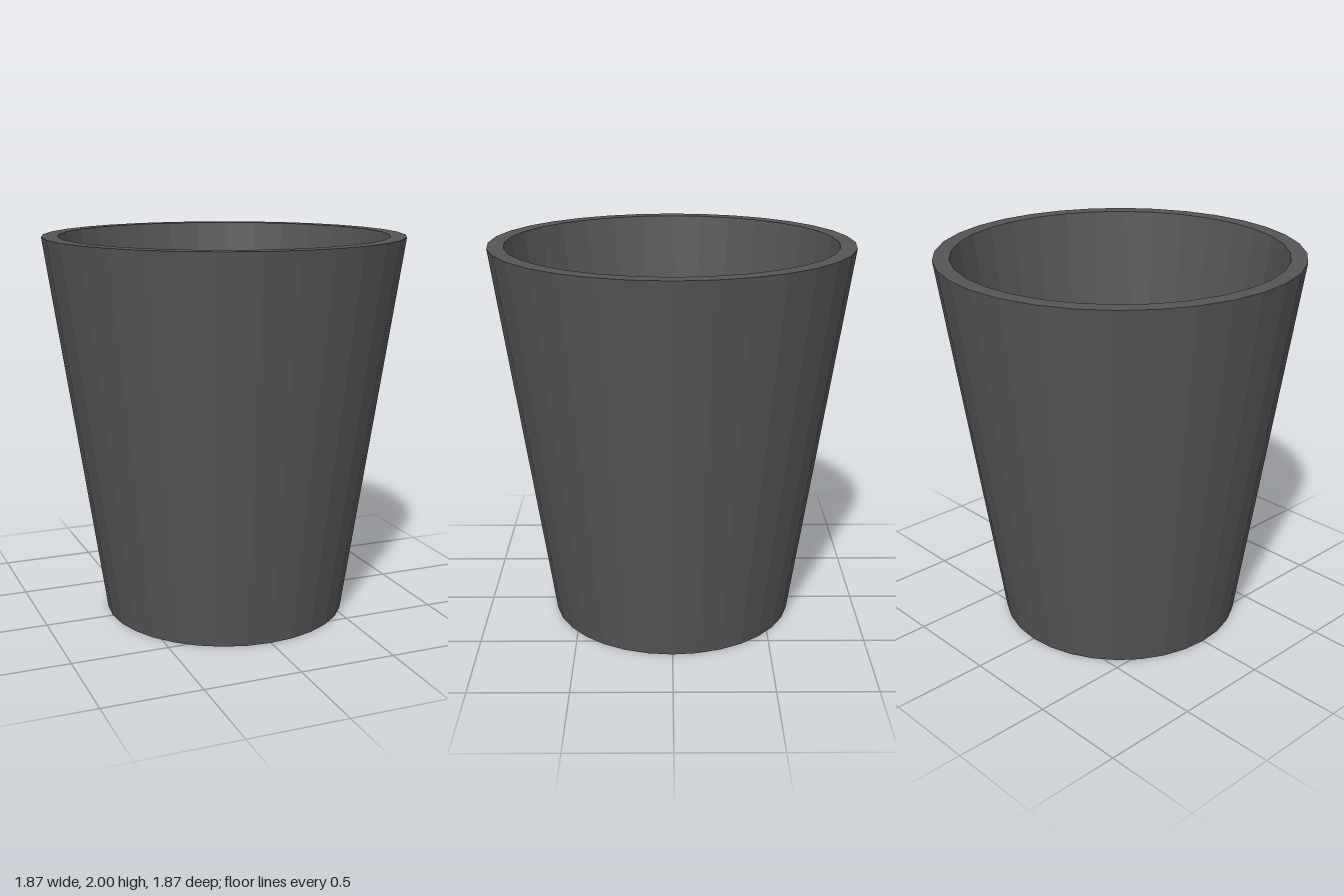
import * as THREE from 'three';

const SIDES = 32;
const BASE_RADIUS = 0.64, RIM_RADIUS = 0.933, HEIGHT = 2;
const INNER_RIM = 0.85, FLOOR_RADIUS = 0.66, FLOOR_Y = 0.7;

export function createModel() {
  const group = new THREE.Group();
  group.name = 'tumbler';
  const material = new THREE.MeshStandardMaterial({ color: 0x555555, flatShading: true });

  // Revolves a list of [radius, height] points into a faceted part
  const addPart = (name, points) => {
    const profile = points.map(([r, y]) => new THREE.Vector2(r, y));
    const mesh = new THREE.Mesh(new THREE.LatheGeometry(profile, SIDES), material);
    mesh.name = name;
    group.add(mesh);
  };

  // Closed underside and tapered outer wall
  addPart('outerWall', [[0, 0], [BASE_RADIUS, 0], [RIM_RADIUS, HEIGHT]]);
  // Flat ring around the mouth
  addPart('rim', [[RIM_RADIUS, HEIGHT], [INNER_RIM, HEIGHT]]);
  // Inner wall, parallel to the outer one, down to the floor of the thick base
  addPart('innerWall', [[INNER_RIM, HEIGHT], [FLOOR_RADIUS, FLOOR_Y]]);
  addPart('innerFloor', [[FLOOR_RADIUS, FLOOR_Y], [0, FLOOR_Y]]);

  return group;
}
